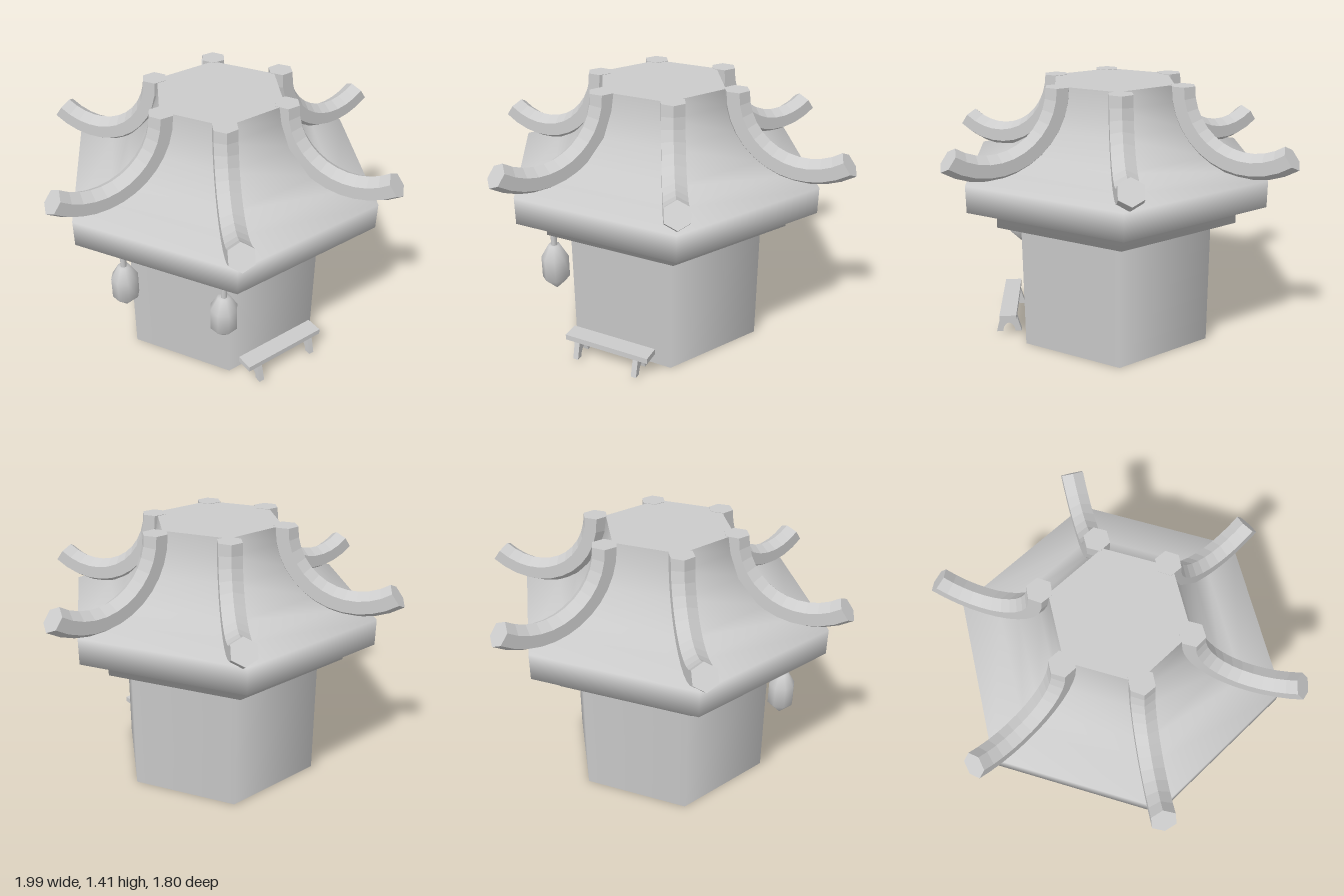
import * as THREE from 'three';
import { mergeGeometries } from 'three/addons/utils/BufferGeometryUtils.js';

const smooth = new THREE.MeshStandardMaterial({ color: 0xcccccc });
const flat = new THREE.MeshStandardMaterial({ color: 0xcccccc, flatShading: true });

function add(parent, name, geometry, material, x = 0, y = 0, z = 0) {
  const mesh = new THREE.Mesh(geometry, material);
  mesh.name = name;
  mesh.position.set(x, y, z);
  parent.add(mesh);
  return mesh;
}

function lathe(points, sides) {
  return new THREE.LatheGeometry(points.map(([r, y]) => new THREE.Vector2(r, y)), sides);
}

// Six-sided curved roof rib: a torus arc with both ends capped, tip above the origin
function ribGeometry() {
  const R = 0.375, r = 0.068, dip = 0.941, arc = Math.PI - dip, topY = 1.41;
  const sweep = new THREE.TorusGeometry(R, r, 6, 12, arc).rotateZ(Math.PI);
  const cap = (tilt, angle) => new THREE.CircleGeometry(r, 6)
    .rotateX(tilt).translate(R, 0, 0).rotateZ(angle);
  const start = cap(Math.PI / 2, Math.PI);
  const end = cap(-Math.PI / 2, Math.PI + arc);
  return mergeGeometries([sweep, start, end]).translate(-R * Math.cos(dip), topY, 0);
}

// Flared plank leg with an arched cutout
function legGeometry() {
  const s = new THREE.Shape();
  s.moveTo(-0.07, 0.015);
  s.lineTo(-0.035, 0.015);
  s.lineTo(-0.03, 0.04);
  s.quadraticCurveTo(0, 0.095, 0.03, 0.04);
  s.lineTo(0.035, 0.015);
  s.lineTo(0.07, 0.015);
  s.lineTo(0.045, 0.11);
  s.lineTo(-0.045, 0.11);
  s.closePath();
  return new THREE.ExtrudeGeometry(s, { depth: 0.03, bevelEnabled: false, curveSegments: 6 })
    .translate(0, 0, -0.015).rotateY(Math.PI / 2);
}

export function createModel() {
  const model = new THREE.Group();
  model.name = 'pavilion';
  const cx = 0.008, cz = 0.027;

  // Hexagonal body, corners on the x axis
  const body = new THREE.CylinderGeometry(0.577, 0.577, 0.715, 6).rotateY(Math.PI / 6);
  add(model, 'body', body, smooth, cx, 0.3575, cz);

  // Stepped eaves flowing into the concave roof
  const roof = lathe([
    [0, 0.713], [0.713, 0.713], [0.713, 0.825], [0.873, 0.825], [0.873, 0.965],
    [0.66, 0.985], [0.55, 1.05], [0.42, 1.19], [0.37, 1.32], [0.355, 1.408],
  ], 6).rotateY(Math.PI / 6);
  add(model, 'roof', roof, smooth, cx, 0, cz);
  const roofCap = new THREE.CircleGeometry(0.355, 6).rotateX(-Math.PI / 2);
  add(model, 'roofCap', roofCap, smooth, cx, 1.408, cz);

  // Ribs along the roof corners: tip x, tip z, inner x, inner z
  const rib = ribGeometry();
  [
    [0.957, 0.03, 0.36, 0],
    [-0.957, 0.03, -0.36, 0.03],
    [0.49, -0.855, 0.2, -0.335],
    [-0.455, -0.855, -0.19, -0.325],
    [0.49, 0.85, 0.185, 0.345],
    [-0.48, 0.845, -0.16, 0.355],
  ].forEach(([tx, tz, ix, iz]) => {
    add(model, 'roofRib', rib, flat, tx, 0, tz).rotation.y = Math.atan2(iz - tz, tx - ix);
  });

  // Hanging lanterns at the front
  const shade = lathe([[0, 0.355], [0.072, 0.43], [0.072, 0.55], [0.032, 0.62], [0, 0.62]], 8);
  const rod = new THREE.CylinderGeometry(0.016, 0.016, 0.11, 8);
  for (const x of [-0.267, 0.303]) {
    const lantern = new THREE.Group();
    lantern.name = 'lantern';
    lantern.position.set(x, 0, 0.617);
    add(lantern, 'lanternShade', shade, smooth);
    add(lantern, 'lanternRod', rod, smooth, 0, 0.67, 0);
    model.add(lantern);
  }

  // Bench along the front left wall
  const bench = new THREE.Group();
  bench.name = 'bench';
  bench.position.set(0.518, 0, 0.345);
  bench.rotation.y = Math.PI / 3;
  add(bench, 'benchSeat', new THREE.BoxGeometry(0.489, 0.031, 0.093), flat, 0, 0.123, 0);
  const leg = legGeometry();
  for (const x of [-0.175, 0.175]) add(bench, 'benchLeg', leg, flat, x, 0, 0);
  model.add(bench);

  return model;
}
